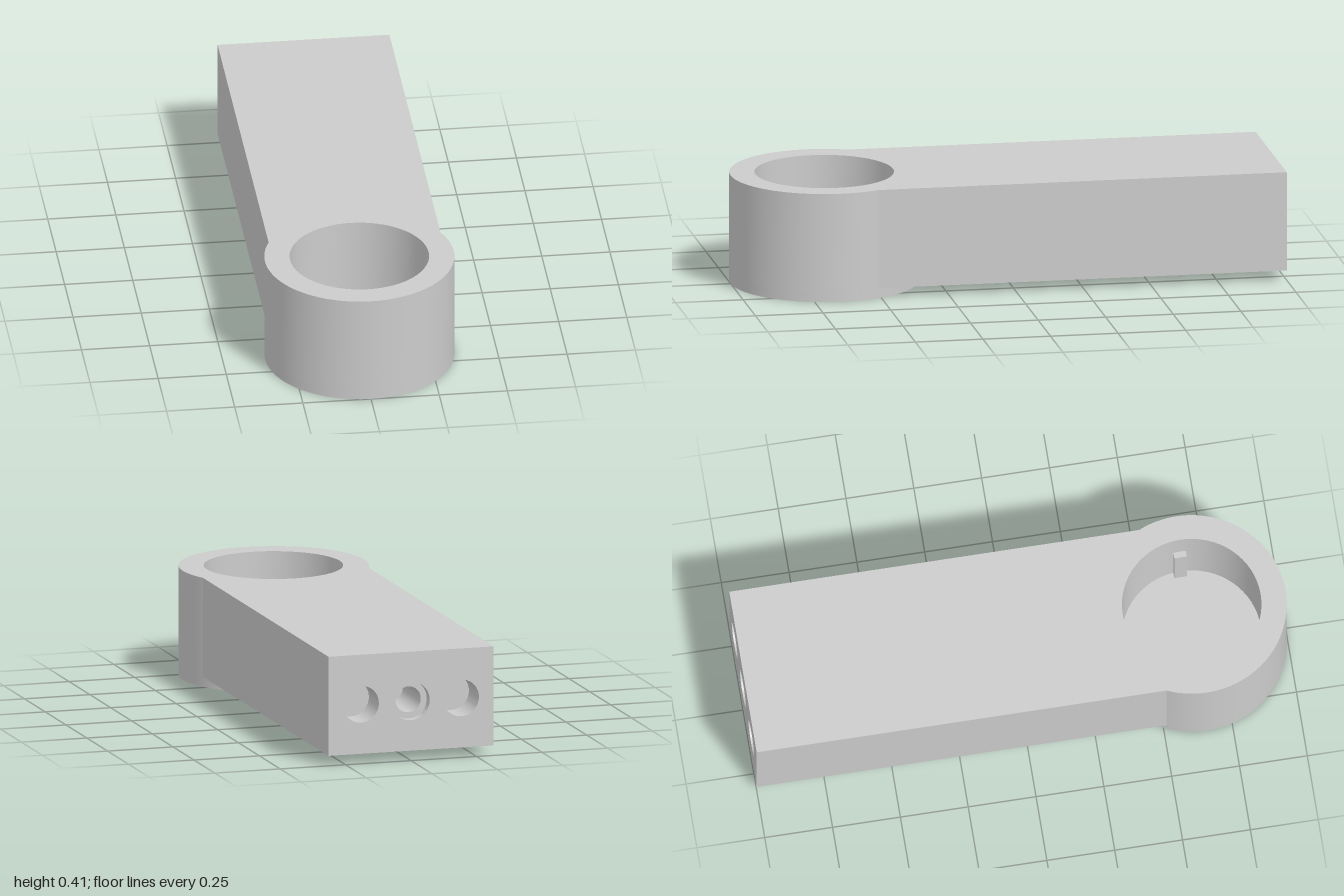
import * as THREE from 'three';
import { toCreasedNormals } from 'three/addons/utils/BufferGeometryUtils.js';

const material = new THREE.MeshStandardMaterial({ color: 0xcccccc });

// Main dimensions
const HALF_W = 0.315, TOP = 0.405, UNDER = 0.037, FLOOR = 0.07;
const RING_V = -0.654, RING_R = 0.346, CUP_R = 0.254;
const JOIN = Math.acos(HALF_W / RING_R);

// Points along an arc, counter-clockwise when a1 > a0
function arc(x, y, r, a0 = 0, a1 = Math.PI * 2, n = 64) {
  return Array.from({ length: n + 1 }, (_, i) => {
    const a = a0 + (a1 - a0) * i / n;
    return new THREE.Vector2(x + r * Math.cos(a), y + r * Math.sin(a));
  });
}

function square(y, half) {
  return [[-1, -1], [1, -1], [1, 1], [-1, 1], [-1, -1]]
    .map(([a, b]) => new THREE.Vector2(a * half, y + b * half));
}

function add(group, name, geometry) {
  const mesh = new THREE.Mesh(geometry, material);
  mesh.name = name;
  group.add(mesh);
  return mesh;
}

// Wall standing on a path; it faces to the right of the path
function wall(group, name, path, w0, w1) {
  const pos = [];
  for (let i = 0; i < path.length - 1; i++) {
    const a = path[i], b = path[i + 1];
    pos.push(a.x, a.y, w0, b.x, b.y, w0, b.x, b.y, w1);
    pos.push(a.x, a.y, w0, b.x, b.y, w1, a.x, a.y, w1);
  }
  const g = new THREE.BufferGeometry();
  g.setAttribute('position', new THREE.Float32BufferAttribute(pos, 3));
  g.computeVertexNormals();
  return add(group, name, toCreasedNormals(g, 0.3));
}

// Flat face at height w, optionally with holes or facing down
function face(group, name, path, w, holes = [], down = false) {
  const shape = new THREE.Shape(path);
  shape.holes = holes.map(h => new THREE.Path(h));
  const g = new THREE.ShapeGeometry(shape);
  if (down) {
    g.setIndex(Array.from(g.index.array).reverse());
    g.computeVertexNormals();
  }
  g.translate(0, 0, w);
  return add(group, name, g);
}

// Inward-facing wall of a round or square recess
const recess = (group, name, path, w0, w1) => wall(group, name, [...path].reverse(), w0, w1);

export function createModel() {
  const model = new THREE.Group();
  model.name = 'ringArm';

  // Parts drawn in plan, raised along y
  const plan = new THREE.Group();
  plan.name = 'armBody';
  plan.rotation.x = -Math.PI / 2;
  model.add(plan);

  const backRight = new THREE.Vector2(HALF_W, 1), backLeft = new THREE.Vector2(-HALF_W, 1);
  const frontArc = arc(0, RING_V, RING_R, Math.PI - JOIN, Math.PI * 2 + JOIN);
  const innerArc = arc(0, RING_V, RING_R, Math.PI - JOIN, JOIN, 40);
  const disc = arc(0, RING_V, RING_R);
  const cup = arc(0, RING_V, CUP_R);

  face(plan, 'topFace', [backRight, backLeft, ...frontArc], TOP, [cup]);
  wall(plan, 'outerWall', [backLeft, ...frontArc, backRight], UNDER, TOP);
  face(plan, 'armUnderside', [backRight, backLeft, ...innerArc], UNDER, [], true);

  // Round cup with two side tabs
  recess(plan, 'cupWall', cup, FLOOR, TOP);
  face(plan, 'cupFloor', cup, FLOOR);
  for (const side of [-1, 1]) {
    const tab = add(plan, 'cupTab', new THREE.BoxGeometry(0.03, 0.046, 0.28 - FLOOR));
    tab.position.set(side * 0.246, RING_V + 0.004, (0.28 + FLOOR) / 2);
  }

  // Foot disc with a square groove underneath
  const outer = square(RING_V, 0.162), inner = square(RING_V, 0.134);
  wall(plan, 'footRim', disc, 0, UNDER);
  face(plan, 'footFace', disc, 0, [outer], true);
  recess(plan, 'grooveOuterWall', outer, 0, 0.01);
  wall(plan, 'grooveInnerWall', inner, 0, 0.01);
  face(plan, 'grooveBed', outer, 0.01, [inner], true);
  face(plan, 'footPad', inner, 0, [], true);

  // Back end with its bores, drawn upright and facing -z
  const end = new THREE.Group();
  end.name = 'backEnd';
  end.rotation.y = Math.PI;
  model.add(end);

  const midY = (TOP + UNDER) / 2;
  const hole = (x, r) => arc(x, midY, r, 0, Math.PI * 2, 40);
  const sideBores = [-0.191, 0.191].map(x => hole(x, 0.068));
  const counterbore = hole(0, 0.071), pilot = hole(0, 0.048);
  const rect = [[-1, UNDER], [1, UNDER], [1, TOP], [-1, TOP]]
    .map(([s, y]) => new THREE.Vector2(s * HALF_W, y));

  face(end, 'backFace', rect, 1, [...sideBores, counterbore]);
  for (const bore of sideBores) {
    recess(end, 'sideBore', bore, 0.88, 1);
    face(end, 'sideBoreFloor', bore, 0.88);
  }
  recess(end, 'counterbore', counterbore, 0.965, 1);
  face(end, 'counterboreStep', counterbore, 0.965, [pilot]);
  recess(end, 'pilotBore', pilot, 0.75, 0.965);
  face(end, 'pilotBoreFloor', pilot, 0.75);

  return model;
}
